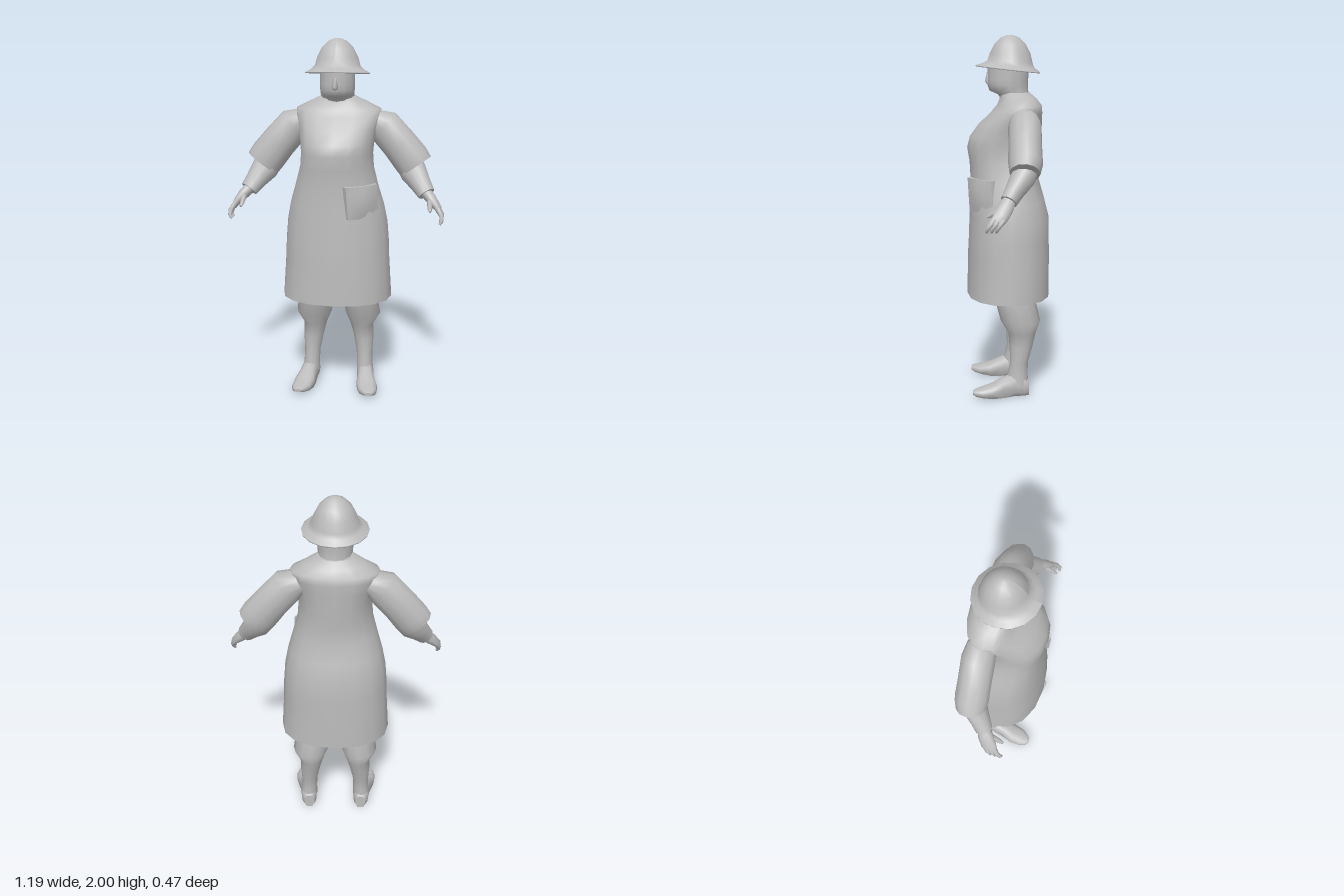
import * as THREE from 'three';

const UP = new THREE.Vector3(0, 1, 0);
const FRONT = new THREE.Vector3(0, 0, 1);

// Closed skin through cross-sections [x, y, z, radiusU, radiusV].
// With an axis the sections stay parallel; otherwise they follow the path.
function loft(rings, { n = 12, axis = null, ref = FRONT, power = 2 } = {}) {
  const pos = [], idx = [];
  const centres = rings.map(r => new THREE.Vector3(r[0], r[1], r[2]));
  const bend = v => Math.sign(v) * Math.pow(Math.abs(v), 2 / power);
  rings.forEach((r, i) => {
    const t = axis ? axis.clone() : centres[Math.min(i + 1, rings.length - 1)].clone()
      .sub(centres[Math.max(i - 1, 0)]).normalize();
    const u = t.clone().cross(ref).normalize();
    const v = u.clone().cross(t);
    for (let j = 0; j < n; j++) {
      const a = j / n * Math.PI * 2;
      const p = centres[i].clone()
        .addScaledVector(u, bend(Math.cos(a)) * r[3])
        .addScaledVector(v, bend(Math.sin(a)) * r[4]);
      pos.push(p.x, p.y, p.z);
    }
  });
  for (let i = 0; i < rings.length - 1; i++) {
    for (let j = 0; j < n; j++) {
      const a = i * n + j, b = i * n + (j + 1) % n;
      idx.push(a, a + n, b, b, a + n, b + n);
    }
  }
  // End caps with their own vertices, so the rims stay crisp
  for (const end of [0, rings.length - 1]) {
    const base = pos.length / 3;
    pos.push(...pos.slice(end * n * 3, (end + 1) * n * 3), ...centres[end].toArray());
    for (let j = 0; j < n; j++) {
      const a = base + j, b = base + (j + 1) % n;
      idx.push(base + n, end ? b : a, end ? a : b);
    }
  }
  const g = new THREE.BufferGeometry();
  g.setAttribute('position', new THREE.Float32BufferAttribute(pos, 3));
  g.setIndex(idx);
  g.computeVertexNormals();
  return g;
}

// Upright section given by half width and front/back depth
const slab = (y, rx, front, back, x = 0) => [x, y, (front + back) / 2, rx, (front - back) / 2];

function mirrored(geometry) {
  const g = geometry.clone().scale(-1, 1, 1);
  const a = g.index.array;
  for (let i = 0; i < a.length; i += 3) [a[i], a[i + 1]] = [a[i + 1], a[i]];
  g.computeVertexNormals();
  return g;
}

export function createModel() {
  const grey = new THREE.MeshStandardMaterial({ color: 0xbcbcbc });
  grey.name = 'plain grey';
  const model = new THREE.Group();
  model.name = 'coatedFigure';
  const add = (name, geometry) => {
    const m = new THREE.Mesh(geometry, grey);
    m.name = name;
    model.add(m);
    return m;
  };
  const addPair = (name, geometry) => {
    add(name + 'Left', geometry);
    add(name + 'Right', mirrored(geometry));
  };

  // Long coat, flared at the hem and full at the chest
  add('coat', loft([
    slab(0.56, 0.31, 0.235, -0.23),
    slab(0.79, 0.295, 0.23, -0.23),
    slab(0.88, 0.292, 0.225, -0.228),
    slab(1.0, 0.282, 0.22, -0.225),
    slab(1.1, 0.262, 0.215, -0.2),
    slab(1.21, 0.23, 0.212, -0.168),
    slab(1.31, 0.205, 0.217, -0.172),
    slab(1.39, 0.2, 0.23, -0.178),
    slab(1.45, 0.205, 0.215, -0.182),
    slab(1.52, 0.215, 0.165, -0.185),
    slab(1.58, 0.235, 0.1, -0.187),
    slab(1.62, 0.235, 0.065, -0.183),
    slab(1.655, 0.165, 0.05, -0.155),
    slab(1.69, 0.095, 0.045, -0.115),
  ], { n: 16, axis: UP, power: 2.2 }));

  // Patch pocket, turned to follow the curve of the coat
  const pocket = new THREE.BoxGeometry(0.2, 0.18, 0.06, 4, 4, 1);
  const pp = pocket.attributes.position;
  for (let i = 0; i < pp.count; i++) {
    const x = pp.getX(i) / 0.1, y = pp.getY(i) / 0.09;
    if (pp.getZ(i) > 0) pp.setZ(i, 0.012 + 0.025 * (1 - x * x) * (1 - 0.5 * y * y));
    pp.setX(i, pp.getX(i) - y * 0.008);
  }
  pocket.computeVertexNormals();
  const pocketMesh = add('pocket', pocket);
  pocketMesh.position.set(0.15, 1.14, 0.155);
  pocketMesh.rotation.y = 0.66;

  // Neck and head
  add('head', loft([
    slab(1.64, 0.085, 0.03, -0.11),
    slab(1.68, 0.088, 0.06, -0.11),
    slab(1.7, 0.092, 0.105, -0.108),
    slab(1.73, 0.095, 0.115, -0.106),
    slab(1.76, 0.096, 0.118, -0.108),
    slab(1.84, 0.096, 0.115, -0.11),
  ], { axis: UP }));
  add('nose', loft([
    slab(1.735, 0.013, 0.12, 0.1),
    slab(1.75, 0.017, 0.132, 0.1),
    slab(1.8, 0.009, 0.12, 0.1),
  ], { n: 6, axis: UP }));

  // Domed hat with a brim that tips up at the front
  const hat = new THREE.LatheGeometry([
    [0, 1.84], [0.12, 1.825], [0.176, 1.812], [0.177, 1.818], [0.145, 1.835],
    [0.124, 1.855], [0.112, 1.9], [0.086, 1.95], [0.05, 1.985], [0.02, 1.998], [0, 2],
  ].map(p => new THREE.Vector2(...p)), 16);
  const hp = hat.attributes.position;
  for (let i = 0; i < hp.count; i++) {
    const y = hp.getY(i), lift = THREE.MathUtils.clamp((1.9 - y) / 0.08, 0, 1);
    hp.setY(i, y + 0.11 * lift * hp.getZ(i));
    hp.setZ(i, hp.getZ(i) + (y > 1.85 ? -0.008 : 0.003));
  }
  hat.computeVertexNormals();
  add('hat', hat);

  // Wide sleeves, forearms and cuffs
  addPair('sleeve', loft([
    [0.18, 1.56, -0.07, 0.06, 0.075],
    [0.25, 1.52, -0.07, 0.098, 0.088],
    [0.34, 1.42, -0.065, 0.1, 0.088],
    [0.4, 1.345, -0.062, 0.104, 0.09],
    [0.432, 1.3, -0.056, 0.1, 0.08],
  ]));
  addPair('forearm', loft([
    [0.39, 1.32, -0.065, 0.075, 0.07],
    [0.42, 1.27, -0.045, 0.076, 0.066],
    [0.465, 1.21, 0.0, 0.058, 0.052],
    [0.497, 1.165, 0.03, 0.049, 0.045],
  ]));

  // Hands with curled fingers and a thumb
  addPair('palm', loft([
    [0.49, 1.175, 0.025, 0.033, 0.034],
    [0.525, 1.14, 0.047, 0.03, 0.042],
    [0.56, 1.1, 0.075, 0.02, 0.042],
    [0.572, 1.075, 0.09, 0.014, 0.036],
  ], { n: 10 }));
  for (let i = 0; i < 3; i++) {
    const z = (i - 1) * 0.025;
    addPair('finger' + (i + 1), loft([
      [0.56, 1.1, 0.075 + z, 0.014, 0.015],
      [0.583, 1.065, 0.1 + z, 0.013, 0.014],
      [0.584, 1.042, 0.118 + z, 0.011, 0.012],
      [0.574, 1.022, 0.124 + z, 0.006, 0.007],
    ], { n: 6 }));
  }
  addPair('thumb', loft([
    [0.515, 1.145, 0.055, 0.018, 0.02],
    [0.518, 1.12, 0.095, 0.015, 0.016],
    [0.52, 1.1, 0.125, 0.012, 0.012],
    [0.521, 1.09, 0.143, 0.006, 0.006],
  ], { n: 6, ref: UP }));

  // Breeches gathered at the knee, running into slim stockinged shins
  addPair('leg', loft([
    slab(0.66, 0.1, 0.1, -0.13, 0.122),
    slab(0.55, 0.1, 0.085, -0.14, 0.126),
    slab(0.43, 0.102, 0.052, -0.168, 0.142),
    slab(0.36, 0.068, 0.01, -0.145, 0.137),
    slab(0.28, 0.058, 0.004, -0.125, 0.148),
    slab(0.19, 0.046, 0.0, -0.1, 0.154),
    slab(0.13, 0.046, 0.015, -0.098, 0.156),
    slab(0.06, 0.05, 0.02, -0.1, 0.16),
  ].reverse(), { axis: UP }));

  // Shoes, flat soled with the toes turned out
  const shoe = loft([
    [0.155, 0.045, -0.105, 0.03, 0.04],
    [0.158, 0.055, -0.08, 0.045, 0.058],
    [0.162, 0.062, -0.02, 0.048, 0.068],
    [0.17, 0.052, 0.04, 0.05, 0.056],
    [0.182, 0.036, 0.1, 0.06, 0.038],
    [0.192, 0.031, 0.16, 0.054, 0.026],
    [0.2, 0.032, 0.195, 0.036, 0.018],
    [0.203, 0.033, 0.212, 0.018, 0.01],
  ], { axis: FRONT, ref: UP, power: 2.4 });
  const sp = shoe.attributes.position;
  for (let i = 0; i < sp.count; i++) {
    const toeLift = Math.max(0, sp.getZ(i) - 0.08) * 0.16;
    if (sp.getY(i) < 0.022) sp.setY(i, toeLift);
  }
  shoe.computeVertexNormals();
  addPair('shoe', shoe);

  return model;
}
